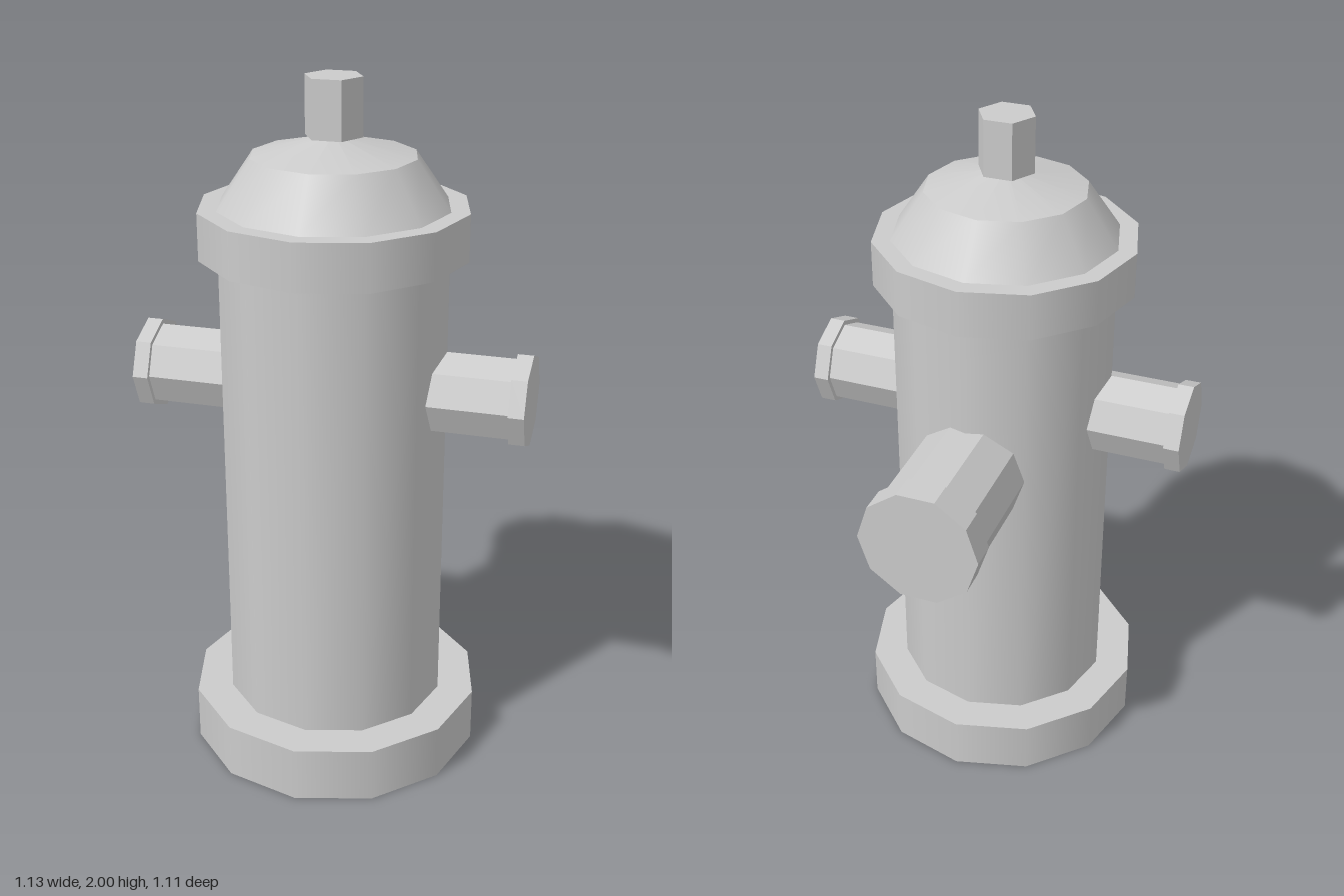
import * as THREE from 'three';

const material = new THREE.MeshStandardMaterial({ color: 0xcccccc });
const flatMaterial = new THREE.MeshStandardMaterial({ color: 0xcccccc, flatShading: true });

// Smooth twelve-sided ring or cone between two heights
function ring(name, bottomRadius, topRadius, y0, y1, open = false) {
  const geometry = new THREE.CylinderGeometry(topRadius, bottomRadius, y1 - y0, 12, 1, open);
  const mesh = new THREE.Mesh(geometry, material);
  mesh.name = name;
  mesh.position.y = (y0 + y1) / 2;
  return mesh;
}

// Faceted prism standing on y = start, with a corner on the x axis
function prism(name, radius, start, end, sides) {
  const geometry = new THREE.CylinderGeometry(radius, radius, end - start, sides, 1, false, Math.PI / 2);
  geometry.translate(0, (start + end) / 2, 0);
  const mesh = new THREE.Mesh(geometry, flatMaterial);
  mesh.name = name;
  return mesh;
}

// Outlet pipe with a wider end cap, built along +y
function outlet(name, sides, pipeRadius, capRadius, start, capStart, end) {
  const group = new THREE.Group();
  group.name = name;
  group.add(
    prism('outletPipe', pipeRadius, start, capStart, sides),
    prism('outletCap', capRadius, capStart, end, sides),
  );
  return group;
}

export function createModel() {
  const hydrant = new THREE.Group();
  hydrant.name = 'hydrant';
  hydrant.position.z = 0.122;

  // Barrel and bonnet
  hydrant.add(
    ring('base', 0.431, 0.431, 0, 0.163),
    ring('barrel', 0.324, 0.324, 0.163, 1.52),
    ring('flange', 0.377, 0.377, 1.52, 1.653),
    ring('bonnetLower', 0.324, 0.23, 1.653, 1.79, true),
    ring('bonnetTop', 0.23, 0, 1.79, 1.845, true),
    prism('operatingNut', 0.081, 1.84, 2, 6),
  );

  // Side outlets
  for (const side of [1, -1]) {
    const hose = outlet(side > 0 ? 'leftOutlet' : 'rightOutlet', 8, 0.12, 0.134, 0.27, 0.52, 0.565);
    hose.position.y = 1.138;
    hose.rotation.z = -side * Math.PI / 2;
    hydrant.add(hose);
  }

  // Large rear outlet
  const rear = outlet('rearOutlet', 10, 0.162, 0.175, 0.27, 0.597, 0.676);
  rear.position.y = 1.03;
  rear.rotation.x = -Math.PI / 2;
  hydrant.add(rear);

  const model = new THREE.Group();
  model.add(hydrant);
  return model;
}
